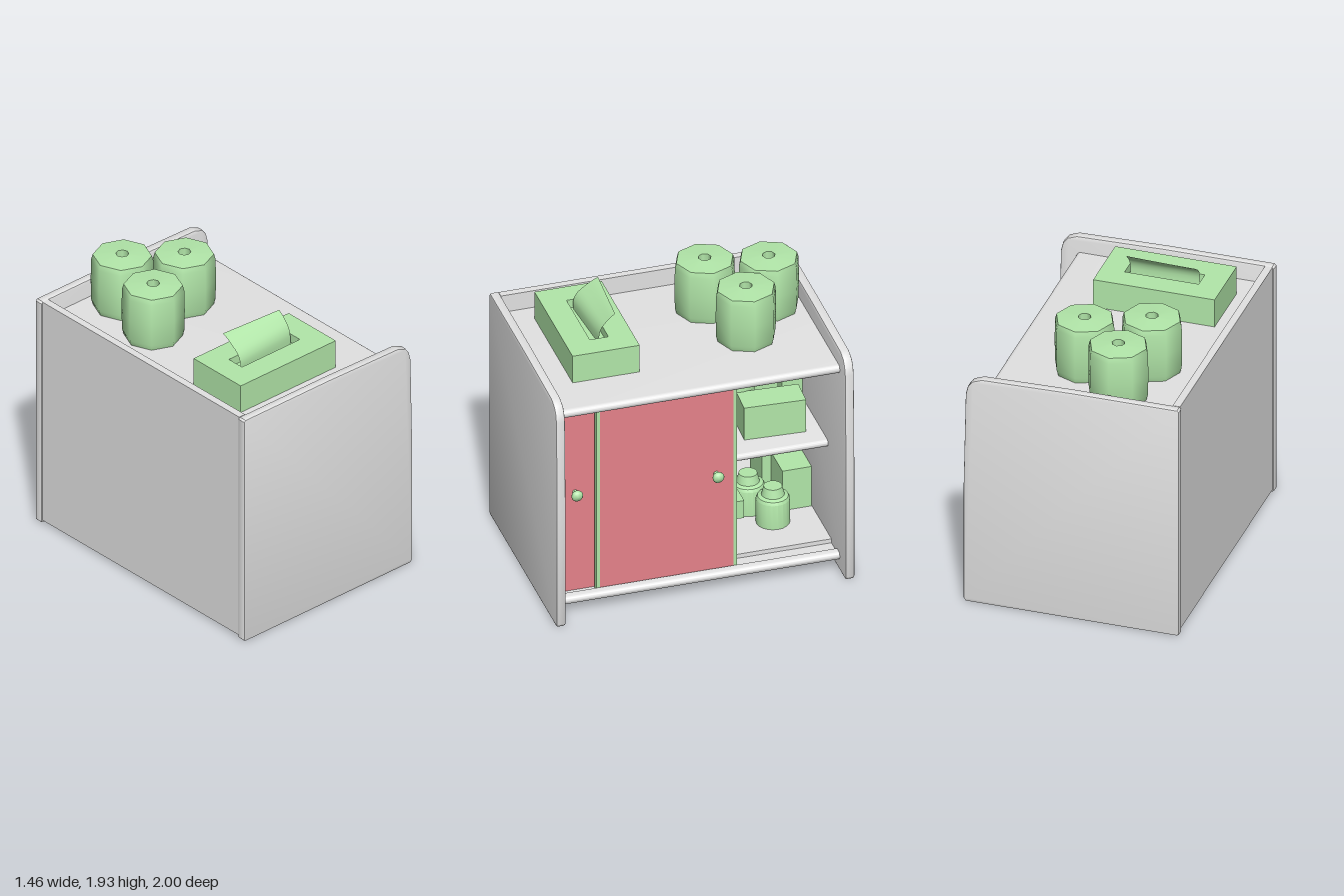
import * as THREE from 'three';
import { toCreasedNormals } from 'three/addons/utils/BufferGeometryUtils.js';

export function createModel() {
  const model = new THREE.Group();
  model.name = 'cabinet';
  const paint = (name, color, side = THREE.FrontSide) => {
    const m = new THREE.MeshStandardMaterial({ color, side });
    m.name = name;
    return m;
  };
  const grey = paint('panel grey', 0xe3e3e3);
  const green = paint('soft green', 0xb3e8aa, THREE.DoubleSide);
  const red = paint('door red', 0xe6828a);

  const add = (name, geometry, material, x = 0, y = 0, z = 0) => {
    const mesh = new THREE.Mesh(geometry, material);
    mesh.name = name;
    mesh.position.set(x, y, z);
    model.add(mesh);
    return mesh;
  };
  // Box given by its limits on each axis
  const box = (name, mat, x0, x1, y0, y1, z0, z1) =>
    add(name, new THREE.BoxGeometry(x1 - x0, y1 - y0, z1 - z0), mat,
      (x0 + x1) / 2, (y0 + y1) / 2, (z0 + z1) / 2);
  const lathe = (points, segments, crease) => toCreasedNormals(
    new THREE.LatheGeometry(points.map(p => new THREE.Vector2(...p)), segments), crease);

  // End panels with a softened upper corner
  const b = 0.012;
  const thick = 0.062;
  const outline = new THREE.Shape([
    [-0.718, 0], [0.71, 0], [0.725, 0.02], [0.725, 0.84], [0.71, 1.53], [0.695, 1.59],
    [0.665, 1.63], [0.60, 1.655], [0, 1.667], [-0.718, 1.667], [-0.73, 1.655], [-0.73, 0.012],
  ].map(p => new THREE.Vector2(...p)));
  const panel = toCreasedNormals(new THREE.ExtrudeGeometry(outline, {
    depth: thick - 2 * b, bevelEnabled: true, bevelThickness: b, bevelSize: b, bevelOffset: -b, bevelSegments: 2,
  }), 0.7);
  for (const z of [-1, 1 - thick]) add('endPanel', panel, grey, 0, 0, z + b);

  // Back panel, and boards with a rounded front edge
  box('backPanel', grey, -0.72, -0.67, 0.02, 1.665, -0.94, 0.94);
  // groove: 1 cuts the door track into the top face, -1 into the underside
  const board = (name, front, y0, y1, groove) => {
    const r = (y1 - y0) / 2;
    const cut = y => [[0.54, y], [0.54, y - groove * 0.03], [0.42, y - groove * 0.03], [0.42, y]];
    const s = new THREE.Shape();
    s.moveTo(-0.67, y0);
    if (groove === -1) cut(y0).reverse().forEach(p => s.lineTo(...p));
    s.lineTo(front - r, y0);
    s.absarc(front - r, y0 + r, r, -Math.PI / 2, Math.PI / 2, false);
    if (groove === 1) cut(y1).forEach(p => s.lineTo(...p));
    s.lineTo(-0.67, y1);
    add(name, toCreasedNormals(new THREE.ExtrudeGeometry(s, {
      depth: 1.88, bevelEnabled: false, curveSegments: 10,
    }), 0.6), grey, 0, 0, -0.94);
  };
  board('topBoard', 0.6, 1.48, 1.54, -1);
  board('middleShelf', 0.35, 0.78, 0.83, 0);
  board('bottomBoard', 0.6, 0.075, 0.133, 1);

  // Sliding doors: red leaf between green stiles, with a turned knob
  const knob = lathe([[0, 0], [0.018, 0], [0.016, 0.03], [0.036, 0.04], [0.039, 0.052],
    [0.03, 0.066], [0, 0.072]], 16, 0.9);
  const door = (name, x, z0, z1, knobZ) => {
    box(name, red, x - 0.035, x, 0.105, 1.508, z0 + 0.024, z1 - 0.024);
    box(name + 'Stile', green, x - 0.037, x + 0.004, 0.105, 1.508, z0, z0 + 0.024);
    box(name + 'Stile', green, x - 0.037, x + 0.004, 0.105, 1.508, z1 - 0.024, z1);
    add(name + 'Knob', knob, green, x, 0.84, knobZ).rotation.z = -Math.PI / 2;
  };
  door('frontDoor', 0.53, -0.27, 0.674, -0.13);
  door('rearDoor', 0.475, 0.0, 0.937, 0.80);

  // Goods on the upper shelf
  const bottle = (name, x, y, z, pts) => add(name, lathe(pts, 20, 0.5), green, x, y, z);
  bottle('tallBottle', -0.12, 0.83, -0.475, [[0, 0], [0.11, 0], [0.11, 0.33], [0.09, 0.42],
    [0.085, 0.432], [0.073, 0.435], [0.073, 0.54], [0, 0.54]]);
  box('tallBox', green, -0.5, -0.25, 0.83, 1.41, -0.79, -0.595);
  box('sideBox', green, -0.5, -0.2, 0.83, 1.28, -0.936, -0.8);
  box('wideBox', green, -0.01, 0.19, 0.83, 1.07, -0.842, -0.432).rotation.y = -0.05;

  // Turned boxes half hidden behind the front door, one on each level
  const turnedBox = (name, y, z) =>
    add(name, new THREE.BoxGeometry(0.36, 0.14, 0.25), green, 0.09, y + 0.07, z).rotation.y = -0.58;
  turnedBox('smallBox', 0.83, -0.215);
  turnedBox('stackBase', 0.13, -0.185);
  box('stackTop', green, -0.08, 0.22, 0.27, 0.4, -0.415, -0.1);

  // Goods on the lower shelf
  for (const [x, z] of [[-0.1, -0.54], [0.1, -0.645]]) {
    bottle('jar', x, 0.13, z, [[0, 0], [0.11, 0], [0.11, 0.18], [0.1, 0.2],
      [0.075, 0.21], [0.06, 0.27], [0, 0.27]]);
  }
  box('lowerTallBox', green, -0.5, -0.25, 0.13, 0.625, -0.875, -0.68);
  box('lowerSideBox', green, -0.25, 0.0, 0.13, 0.43, -0.936, -0.74);

  // Eight-sided paper rolls with an open core
  const roll = lathe([[0.042, 0], [0.188, 0], [0.2, 0.04], [0.203, 0.19], [0.2, 0.34],
    [0.19, 0.378], [0.042, 0.39], [0.042, 0]], 8, 0.9);
  for (const [x, z] of [[-0.23, -0.72], [0.08, -0.47], [-0.325, -0.32]]) {
    add('paperRoll', roll, green, x, 1.54, z);
  }

  // Tissue box with a slot in the lid
  const rect = (S, x0, x1, z0, z1) => new S([[x0, -z1], [x1, -z1], [x1, -z0], [x0, -z0]]
    .map(p => new THREE.Vector2(...p)));
  const lid = rect(THREE.Shape, -0.54, 0.28, 0.305, 0.755);
  lid.holes.push(rect(THREE.Path, -0.38, 0.12, 0.465, 0.59));
  const lidGeometry = new THREE.ExtrudeGeometry(lid, { depth: 0.2, bevelEnabled: false });
  add('tissueBox', lidGeometry.rotateX(-Math.PI / 2), green, 0, 1.54, 0);
  box('tissueStack', green, -0.39, 0.13, 1.54, 1.68, 0.455, 0.6);

  // Curled tissue: a strip that follows a curve and narrows towards one end
  const curl = new THREE.CatmullRomCurve3([[1.68, 0.55], [1.75, 0.55], [1.8, 0.525],
    [1.84, 0.475], [1.875, 0.42], [1.89, 0.385]].map(([y, z]) => new THREE.Vector3(0, y, z)));
  const sheet = new THREE.PlaneGeometry(1, 1, 4, 12);
  const pos = sheet.attributes.position;
  for (let i = 0; i < pos.count; i++) {
    const u = pos.getX(i) + 0.5;
    const p = curl.getPoint(pos.getY(i) + 0.5);
    pos.setXYZ(i, -0.36 + 0.46 * u, p.y, 0.465 + (p.z - 0.465) * (1 - 0.36 * u));
  }
  sheet.computeVertexNormals();
  add('tissue', sheet, green);

  return model;
}
